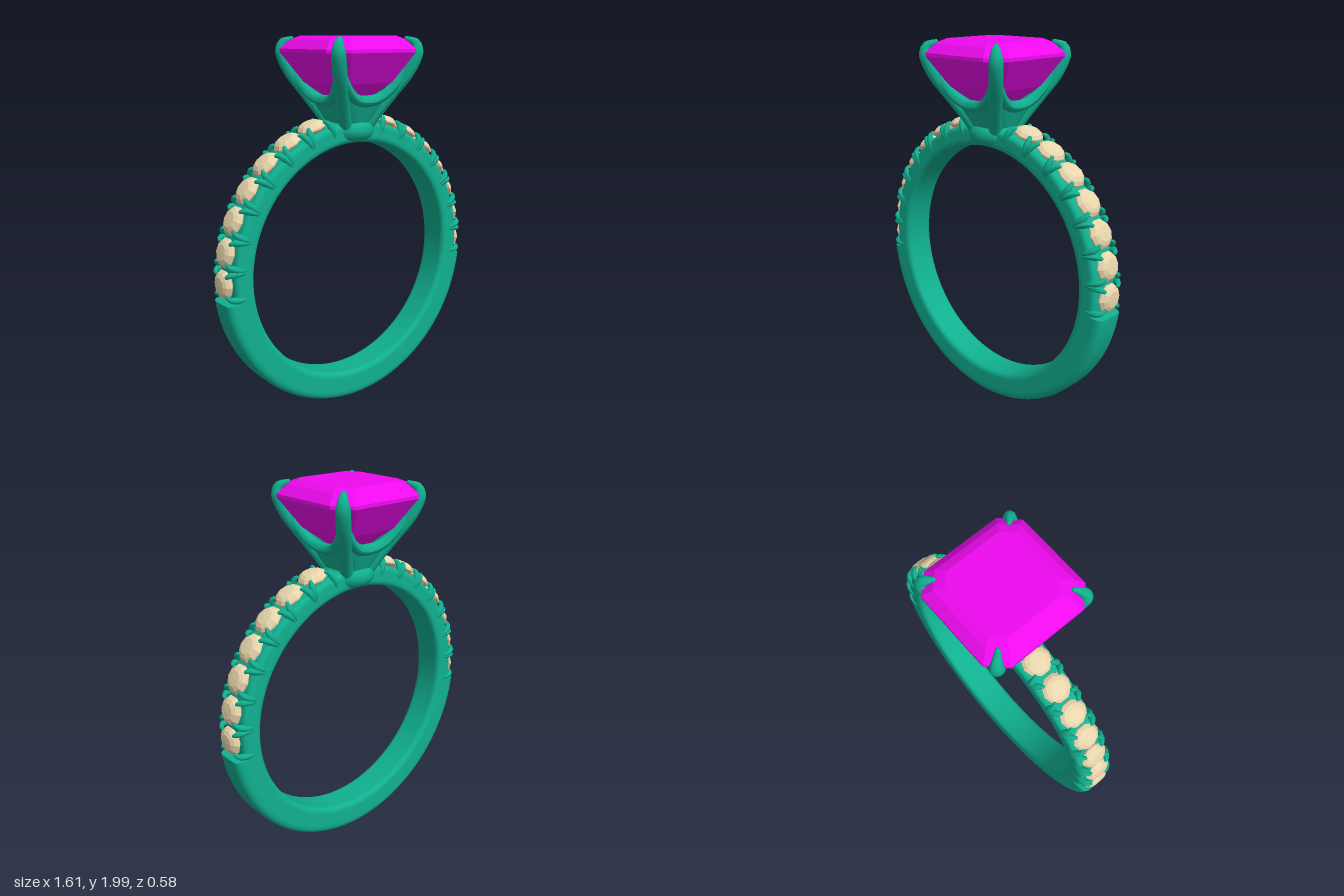
import * as THREE from 'three';
import { ConvexGeometry } from 'three/addons/geometries/ConvexGeometry.js';

const V = (x, y, z) => new THREE.Vector3(x, y, z);
const RAD = Math.PI / 180;
const CENTRE = 0.81; // height of the band's axis

const metal = new THREE.MeshStandardMaterial({ color: 0x10b090, side: THREE.DoubleSide });
const gemMat = new THREE.MeshStandardMaterial({ color: 0xee0aee, flatShading: true });
const paveMat = new THREE.MeshStandardMaterial({ color: 0xe8d5ac, flatShading: true });

function add(parent, name, geometry, material = metal) {
  const mesh = new THREE.Mesh(geometry, material);
  mesh.name = name;
  parent.add(mesh);
  return mesh;
}

// Tube whose radius follows a list of values along its path, closed by a ball at the tip
function taperedTube(parent, name, points, radii, steps = 24, sides = 12) {
  const curve = new THREE.CatmullRomCurve3(points);
  const geo = new THREE.TubeGeometry(curve, steps, 1, sides);
  const pos = geo.attributes.position;
  const p = new THREE.Vector3();
  for (let i = 0; i < pos.count; i++) {
    const t = Math.floor(i / (sides + 1)) / steps;
    const f = t * (radii.length - 1);
    const k = Math.min(Math.floor(f), radii.length - 2);
    const r = THREE.MathUtils.lerp(radii[k], radii[k + 1], f - k);
    const c = curve.getPointAt(t);
    p.fromBufferAttribute(pos, i).sub(c).multiplyScalar(r).add(c);
    pos.setXYZ(i, p.x, p.y, p.z);
  }
  geo.computeVertexNormals();
  add(parent, name, geo);
  const tip = add(parent, name + 'Tip', new THREE.SphereGeometry(radii[radii.length - 1], sides, 8));
  tip.position.copy(points[points.length - 1]);
}

// Rounded cross-section of the band: x is the radius, y the width
function bandSection(inner, outer, w, ro, ri) {
  const s = new THREE.Shape();
  s.moveTo(outer, -w + ro);
  s.lineTo(outer, w - ro);
  s.quadraticCurveTo(outer, w, outer - ro, w);
  s.lineTo(inner + ri, w);
  s.quadraticCurveTo(inner, w, inner, w - ri);
  s.lineTo(inner, -w + ri);
  s.quadraticCurveTo(inner, -w, inner + ri, -w);
  s.lineTo(outer - ro, -w);
  s.quadraticCurveTo(outer, -w, outer, -w + ro);
  return s;
}

// Part of the band between two angles measured clockwise from the top
function bandArc(parent, name, section, from, to) {
  const geo = new THREE.LatheGeometry(section.getPoints(8), 96, from * RAD, (to - from) * RAD);
  geo.rotateX(-Math.PI / 2);
  add(parent, name, geo).position.y = CENTRE;
}

// Position on the band: angle up from the horizontal, radius, depth
const onBand = (deg, r, z) => V(r * Math.cos(deg * RAD), CENTRE + r * Math.sin(deg * RAD), z);

function buildBand(group) {
  const band = new THREE.Group();
  band.name = 'band';
  group.add(band);
  const full = bandSection(0.645, 0.802, 0.09, 0.05, 0.035);
  bandArc(band, 'lowerBand', full, 96.8, 263.2);
  bandArc(band, 'upperBand', bandSection(0.645, 0.752, 0.09, 0.03, 0.035), -97, 97);
  // End faces where the plain band meets the stone setting
  for (const deg of [-6.8, 186.8]) {
    const x = V(Math.cos(deg * RAD), Math.sin(deg * RAD), 0);
    const y = V(0, 0, 1);
    const geo = new THREE.ShapeGeometry(full, 8);
    geo.applyMatrix4(new THREE.Matrix4().makeBasis(x, y, x.clone().cross(y)));
    add(band, 'shoulder', geo).position.y = CENTRE;
  }
}

function buildPave(group) {
  // Faceted round stone, table facing +y
  const profile = [[0, -0.06], [0.076, 0], [0.076, 0.008], [0.062, 0.024], [0.042, 0.034], [0, 0.036]];
  const stone = new THREE.LatheGeometry(profile.map(([r, y]) => new THREE.Vector2(r, y)), 10).toNonIndexed();
  stone.computeVertexNormals();
  for (const side of [1, -1]) {
    const row = new THREE.Group();
    row.name = side > 0 ? 'leftStoneRow' : 'rightStoneRow';
    if (side < 0) row.rotation.y = Math.PI;
    group.add(row);
    for (let i = 0; i < 7; i++) {
      const deg = i * 12;
      const mesh = add(row, 'smallStone', stone, paveMat);
      mesh.position.copy(onBand(deg, 0.768, 0));
      mesh.rotation.z = (deg - 90) * RAD;
      // Four small claws around each stone
      for (const a of [-1, 1]) for (const z of [-1, 1]) {
        taperedTube(row, 'smallClaw', [
          onBand(deg + a * 5.6, 0.69, z * 0.083),
          onBand(deg + a * 5.2, 0.745, z * 0.082),
          onBand(deg + a * 4.5, 0.78, z * 0.068),
          onBand(deg + a * 3.8, 0.787, z * 0.054),
        ], [0.006, 0.015, 0.018, 0.01], 8, 8);
      }
    }
  }
}

// Upper edge of the basket along one side, u from -1 to 1
const rim = (u) => V(0.235 * u, 1.675 + 0.225 * Math.abs(u) ** 2.5, 0.155 + 0.08 * u * u);

function buildHead(group) {
  const head = new THREE.Group();
  head.name = 'head';
  group.add(head);
  // Collar under the basket
  const collar = add(head, 'collar', new THREE.TorusGeometry(0.08, 0.056, 16, 40).rotateX(Math.PI / 2));
  collar.position.y = 1.52;
  add(head, 'collarCore', new THREE.CylinderGeometry(0.1, 0.08, 0.1, 32)).position.y = 1.53;

  // Basket wall of one side, lofted from the collar up to the curved rim
  const nu = 24, nv = 8, verts = [], index = [];
  for (let j = 0; j <= nv; j++) {
    for (let i = 0; i <= nu; i++) {
      const u = (i / nu) * 2 - 1;
      const a = u * Math.PI / 4;
      const base = V(0.1 * Math.sin(a), 1.53, 0.1 * Math.cos(a));
      const p = base.lerp(rim(u), j / nv);
      verts.push(p.x, p.y, p.z);
      if (i < nu && j < nv) {
        const k = j * (nu + 1) + i;
        index.push(k, k + 1, k + nu + 2, k, k + nu + 2, k + nu + 1);
      }
    }
  }
  const wall = new THREE.BufferGeometry();
  wall.setAttribute('position', new THREE.Float32BufferAttribute(verts, 3));
  wall.setIndex(index);
  wall.computeVertexNormals();

  const rimPoints = Array.from({ length: 13 }, (_, i) => rim(i / 6 - 1));
  for (let q = 0; q < 4; q++) {
    const quarter = new THREE.Group();
    quarter.name = 'basketQuarter';
    quarter.rotation.y = q * Math.PI / 2;
    head.add(quarter);
    add(quarter, 'basketWall', wall);
    taperedTube(quarter, 'basketRim', rimPoints, [0.018, 0.026, 0.03, 0.026, 0.018], 32, 10);
    // Corner prong bending over the stone
    const path = [[0.065, 1.53], [0.1, 1.6], [0.16, 1.71], [0.218, 1.82], [0.248, 1.915], [0.246, 1.96], [0.212, 1.986]];
    taperedTube(quarter, 'prong', path.map(([d, y]) => V(d, y, d)),
      [0.036, 0.034, 0.034, 0.035, 0.037, 0.036, 0.012], 36, 14);
  }
}

function buildCentreStone(group) {
  // Step-cut square with trimmed corners: half width, corner trim, height
  const steps = [
    [0.2, 0.055, 2.0], [0.245, 0.07, 1.98], [0.29, 0.085, 1.935], [0.29, 0.085, 1.918],
    [0.245, 0.07, 1.85], [0.19, 0.055, 1.765], [0.03, 0.01, 1.63],
  ];
  const points = [];
  for (const [h, c, y] of steps)
    for (const sx of [-1, 1]) for (const sz of [-1, 1])
      points.push(V(sx * h, y, sz * (h - c)), V(sx * (h - c), y, sz * h));
  add(group, 'centreStone', new ConvexGeometry(points), gemMat);
}

export function createModel() {
  const group = new THREE.Group();
  group.name = 'ring';
  buildBand(group);
  buildPave(group);
  buildHead(group);
  buildCentreStone(group);
  return group;
}
